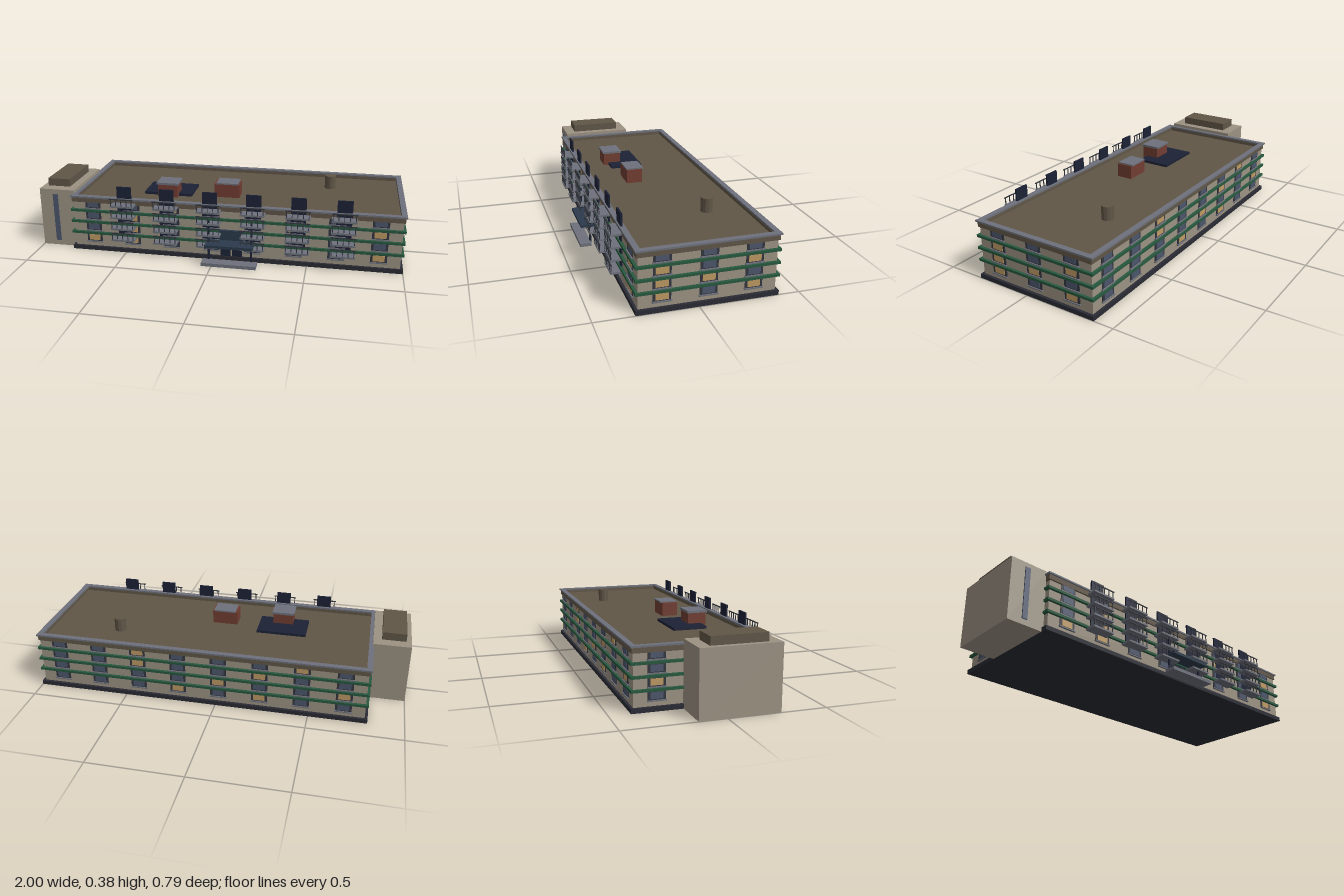
import * as THREE from 'three';

const mat = (color) => new THREE.MeshStandardMaterial({ color });
const M = {
  wall: mat(0x9c9283), brown: mat(0x605647), trim: mat(0x6e717b), base: mat(0x2a2b34),
  green: mat(0x27583e), frame: mat(0x33363f), glass: mat(0x4c566c), lit: mat(0xbd9a64),
  navy: mat(0x1c2236), canopy: mat(0x2b3a4c), brick: mat(0x713d31),
};

// Box given by its minimum and maximum on each axis
function box(parent, name, m, x0, x1, y0, y1, z0, z1) {
  const mesh = new THREE.Mesh(new THREE.BoxGeometry(x1 - x0, y1 - y0, z1 - z0), m);
  mesh.position.set((x0 + x1) / 2, (y0 + y1) / 2, (z0 + z1) / 2);
  mesh.name = name;
  parent.add(mesh);
  return mesh;
}

function group(parent, name) {
  const g = new THREE.Group();
  g.name = name;
  parent.add(g);
  return g;
}

const CX = 0.095, CZ = -0.046;   // centre of the main block
const HX = 0.89, HZ = 0.335;     // half size of its walls
const FLOOR = 0.065;             // storey height

// Rectangular ring around the main block, reaching `out` beyond the walls
function ring(parent, name, m, out, y0, y1, t) {
  const g = group(parent, name);
  const x = HX + out, z = HZ + out;
  for (const s of [-1, 1]) {
    const zc = CZ + s * (z - t / 2), xc = CX + s * (x - t / 2);
    box(g, name + 'Long', m, CX - x, CX + x, y0, y1, zc - t / 2, zc + t / 2);
    box(g, name + 'Short', m, xc - t / 2, xc + t / 2, y0, y1, CZ - z + t, CZ + z - t);
  }
}

// One window: frame, pane and sill, facing local +z
function addWindow(parent, x, y, lit) {
  const w = group(parent, 'window');
  w.position.set(x, y, 0);
  box(w, 'windowFrame', M.frame, -0.043, 0.043, 0, 0.047, -0.005, 0.004);
  box(w, 'windowPane', lit ? M.lit : M.glass, -0.031, 0.031, 0.008, 0.041, 0, 0.006);
  box(w, 'windowSill', M.trim, -0.047, 0.047, -0.003, 0.003, -0.005, 0.01);
}

// A wall's grid of windows; litCells lists "floor,column" pairs
function addFacade(parent, name, angle, depth, xs, litCells) {
  const f = group(parent, name);
  f.rotation.y = angle;
  f.position.set(CX + Math.sin(angle) * depth, 0, CZ + Math.cos(angle) * depth);
  for (let floor = 0; floor < 4; floor++)
    xs.forEach((x, c) => addWindow(f, x, 0.05 + floor * FLOOR, litCells.includes(floor + ',' + c)));
}

// Balcony with door, slab and railing
function addBalcony(parent, x, y) {
  const b = group(parent, 'balcony');
  b.position.set(x, y, 0);
  box(b, 'balconySlab', M.trim, -0.064, 0.064, -0.01, 0, 0.285, 0.353);
  box(b, 'balconyDoor', M.navy, -0.04, 0.04, 0, 0.09, 0.287, 0.296);
  box(b, 'railing', M.frame, -0.066, 0.066, 0.034, 0.039, 0.347, 0.352);
  for (let i = -2; i <= 2; i++)
    box(b, 'railingPost', M.frame, i * 0.029 - 0.002, i * 0.029 + 0.002, 0, 0.035, 0.3475, 0.3515);
}

export function createModel() {
  const model = new THREE.Group();
  model.name = 'apartmentBlock';

  // Main block
  box(model, 'plinth', M.base, -0.81, 1.0, 0, 0.023, -0.395, 0.302);
  box(model, 'walls', M.wall, CX - HX, CX + HX, 0.02, 0.28, CZ - HZ, CZ + HZ);
  box(model, 'roof', M.brown, CX - HX, CX + HX, 0.278, 0.288, CZ - HZ, CZ + HZ);
  ring(model, 'parapet', M.brown, 0.007, 0.28, 0.308, 0.02);
  ring(model, 'coping', M.trim, 0.014, 0.307, 0.316, 0.029);
  for (let i = 0; i < 3; i++)
    ring(model, 'greenBand', M.green, 0.014, 0.096 + i * FLOOR, 0.109 + i * FLOOR, 0.016);

  // Windows on all four walls
  const longXs = Array.from({ length: 8 }, (_, i) => (i - 3.5) * 0.222);
  const shortXs = [-0.222, 0, 0.222];
  addFacade(model, 'frontWindows', 0, HZ, longXs,
    ['0,0', '0,1', '0,7', '1,1', '2,1', '2,7', '3,2', '1,4', '2,5']);
  addFacade(model, 'backWindows', Math.PI, HZ, longXs,
    ['3,2', '2,2', '0,3', '1,4', '2,5', '0,5', '1,7', '3,6']);
  addFacade(model, 'leftWindows', Math.PI / 2, HX, shortXs,
    ['0,0', '1,0', '2,0', '1,1', '0,2', '2,2']);
  addFacade(model, 'rightWindows', -Math.PI / 2, HX, shortXs, ['1,0', '2,1']);

  // Balconies, six columns by four floors
  for (let c = 0; c < 6; c++)
    for (let f = 0; f < 4; f++)
      addBalcony(model, -0.5 + c * 0.237, 0.095 + f * 0.0653);

  // Entrance
  const entrance = group(model, 'entrance');
  box(entrance, 'entranceStep', M.trim, -0.055, 0.24, 0, 0.018, 0.335, 0.397);
  box(entrance, 'canopy', M.canopy, -0.037, 0.22, 0.103, 0.118, 0.285, 0.387);
  box(entrance, 'entrancePanel', M.canopy, 0.03, 0.16, 0.12, 0.175, 0.29, 0.306);
  for (const s of [-1, 1]) {
    const x = 0.092 + s * 0.115, d = 0.092 + s * 0.031;
    box(entrance, 'canopyColumn', M.navy, x - 0.005, x + 0.005, 0.01, 0.24, 0.33, 0.34);
    box(entrance, 'entranceDoor', M.navy, d - 0.027, d + 0.027, 0.023, 0.1, 0.285, 0.296);
  }

  // Stair tower at the side
  const tower = group(model, 'stairTower');
  box(tower, 'towerWalls', M.wall, -1.0, -0.8, 0, 0.333, -0.14, 0.266);
  box(tower, 'towerTop', M.brown, -0.972, -0.845, 0.333, 0.376, -0.08, 0.206);
  box(tower, 'towerWindow', M.glass, -0.923, -0.895, 0.03, 0.306, 0.26, 0.272);

  // Rooftop equipment
  const rooftop = group(model, 'rooftop');
  box(rooftop, 'roofPad', M.navy, -0.435, -0.163, 0.287, 0.302, -0.06, 0.12);
  box(rooftop, 'brickHousing', M.brick, -0.35, -0.238, 0.287, 0.36, 0.05, 0.147);
  box(rooftop, 'housingCap', M.trim, -0.355, -0.233, 0.358, 0.37, 0.045, 0.153);
  box(rooftop, 'brickHousing', M.brick, -0.038, 0.102, 0.287, 0.363, 0.01, 0.097);
  box(rooftop, 'housingCap', M.trim, -0.027, 0.094, 0.362, 0.37, 0.003, 0.098);
  const vent = new THREE.Mesh(new THREE.CylinderGeometry(0.031, 0.031, 0.075, 12), M.brown);
  vent.material = vent.material.clone();
  vent.material.flatShading = true;
  vent.position.set(0.59, 0.324, -0.182);
  vent.name = 'roofVent';
  rooftop.add(vent);

  return model;
}
